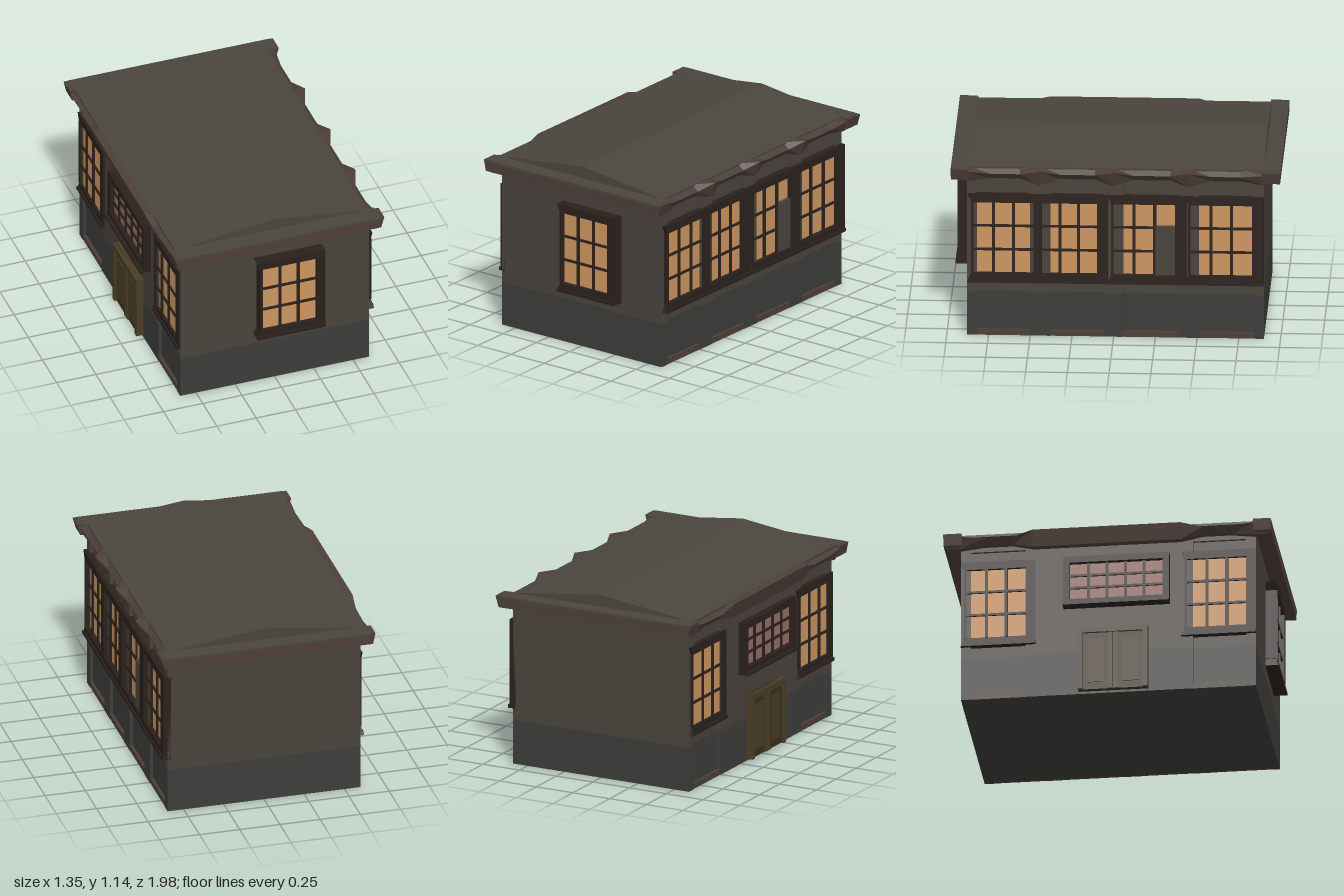
import * as THREE from 'three';

const mat = (color, side = THREE.FrontSide) =>
  new THREE.MeshStandardMaterial({ color, side, flatShading: true });
const M = {
  wall: mat(0x4a433d), base: mat(0x3c3c3a), roof: mat(0x4a453d), fascia: mat(0x4d3e38, THREE.DoubleSide),
  trim: mat(0x2a211c), glass: mat(0xcc9560), pink: mat(0x9a6e66), door: mat(0x4a3d26), doorPanel: mat(0x3a2f1e),
};

// Box given by its minimum and maximum on each axis
function box(parent, name, material, x0, x1, y0, y1, z0, z1) {
  const m = new THREE.Mesh(new THREE.BoxGeometry(x1 - x0, y1 - y0, z1 - z0), material);
  m.position.set((x0 + x1) / 2, (y0 + y1) / 2, (z0 + z1) / 2);
  m.name = name;
  parent.add(m);
  return m;
}

// Extruded outline in the xy plane, running from z0 to z1
function slab(parent, name, material, points, z0, z1) {
  const shape = new THREE.Shape(points.map(([x, y]) => new THREE.Vector2(x, y)));
  const m = new THREE.Mesh(new THREE.ExtrudeGeometry(shape, { depth: z1 - z0, bevelEnabled: false }), material);
  m.position.z = z0;
  m.name = name;
  parent.add(m);
  return m;
}

// Paned glass with glazing bars, facing +z
function panes(g, w, y0, y1, cols, rows, zGlass, zBar, glass) {
  box(g, 'glass', glass, 0, w, y0, y1, zGlass - 0.01, zGlass);
  for (let i = 1; i < cols; i++) {
    const x = (w * i) / cols;
    box(g, 'verticalBar', M.trim, x - 0.009, x + 0.009, y0, y1, zBar - 0.01, zBar);
  }
  for (let i = 1; i < rows; i++) {
    const y = y0 + ((y1 - y0) * i) / rows;
    box(g, 'horizontalBar', M.trim, 0, w, y - 0.007, y + 0.007, zBar - 0.01, zBar);
  }
}

// Tall window with a wide right stile and skewed lintel and sill ends
function tallWindow(name, w, stile, zBack, zGlass, zFront) {
  const g = new THREE.Group();
  g.name = name;
  panes(g, w, 0.4, 0.85, 3, 3, zGlass, zGlass + 0.02, M.glass);
  box(g, 'leftStile', M.trim, -0.015, 0, 0.4, 0.85, zBack, zFront);
  box(g, 'rightStile', M.trim, w, w + stile, 0.4, 0.85, zBack, zFront);
  slab(g, 'lintel', M.trim, [[-0.01, 0.85], [w + stile, 0.85], [w + stile, 0.9], [-0.035, 0.9]], zBack, zFront);
  slab(g, 'sill', M.trim, [[-0.035, 0.345], [w + stile, 0.345], [w + stile, 0.4], [-0.01, 0.4]], zBack, zFront);
  slab(g, 'sillLip', M.trim, [[-0.035, 0.345], [w + stile, 0.345], [w + stile, 0.365], [-0.025, 0.365]], zBack, zFront + 0.01);
  return g;
}

// Eave ribbon lofted through stations of [z, overhang, top, bottom]
function eave(name, side, stations) {
  const pos = [], idx = [];
  for (const [z, out, top, bottom] of stations) {
    for (const [x, y] of [[0.585, 1.07], [out, top], [out - 0.03, bottom], [0.59, bottom]]) pos.push(side * x, y, z);
  }
  for (let s = 0; s < stations.length - 1; s++) {
    for (let k = 0; k < 3; k++) {
      const a = s * 4 + k, b = a + 1, c = a + 4, d = a + 5;
      if (side > 0) idx.push(a, c, b, b, c, d);
      else idx.push(a, b, c, b, d, c);
    }
  }
  let geo = new THREE.BufferGeometry();
  geo.setAttribute('position', new THREE.Float32BufferAttribute(pos, 3));
  geo.setIndex(idx);
  geo = geo.toNonIndexed();
  geo.computeVertexNormals();
  const m = new THREE.Mesh(geo, M.fascia);
  m.name = name;
  return m;
}

export function createModel() {
  const root = new THREE.Group();
  root.name = 'shopBuilding';
  const ZB = -0.9, ZF = 0.88, BASE = 0.275;

  // Core walls, with end walls at full width
  for (const [name, m, y0, y1] of [['base', M.base, 0, BASE], ['wall', M.wall, BASE, 1.01]]) {
    box(root, name + 'Core', m, -0.58, 0.58, y0, y1, ZB, ZF);
    // Pilasters on the right wall, and on the left wall around a solid middle bay
    for (const [z0, z1] of [[ZB, -0.84], [-0.51, -0.39], [-0.06, 0.06], [0.38, 0.5], [0.82, ZF]])
      box(root, name + 'RightPilaster', m, 0.58, 0.6, y0, y1, z0, z1);
    for (const [z0, z1] of [[ZB, -0.84], [-0.51, 0.5], [0.82, ZF]])
      box(root, name + 'LeftPilaster', m, -0.6, -0.58, y0, y1, z0, z1);
  }
  for (const s of [-1, 1]) {
    const x0 = s > 0 ? 0.575 : -0.598;
    box(root, 'bottomRail', M.fascia, x0, x0 + 0.023, 0, 0.035, ZB + 0.01, ZF - 0.01);
    box(root, 'topRail', M.wall, x0, x0 + 0.023, 0.97, 1.01, ZB + 0.01, ZF - 0.01);
  }

  // Right wall windows: [start z, opening width, stile width]
  for (const [z, w, stile] of [[0.84, 0.36, 0.05], [0.43, 0.33, 0.065], [0, 0.37, 0.07], [-0.46, 0.37, 0.07]]) {
    const win = tallWindow('rightWindow', w, stile, -0.02, -0.005, 0.025);
    win.rotation.y = Math.PI / 2;
    win.position.set(0.6, 0, z);
    root.add(win);
  }
  box(root, 'windowShutterPanel', M.wall, 0.58, 0.618, 0.4, 0.71, -0.44, -0.25);

  // Left wall windows at both ends
  for (const z of [-0.865, 0.465]) {
    const win = tallWindow('leftWindow', 0.36, 0.055, -0.02, -0.005, 0.012);
    win.rotation.y = -Math.PI / 2;
    win.position.set(-0.6, 0, z);
    root.add(win);
  }

  // Front window
  const front = tallWindow('frontWindow', 0.345, 0.055, -0.01, 0.04, 0.07);
  front.position.set(-0.1, 0, ZF);
  root.add(front);

  // Wide upper window over the door
  const upper = new THREE.Group();
  upper.name = 'upperWindow';
  upper.rotation.y = -Math.PI / 2;
  upper.position.set(-0.6, 0, -0.24);
  panes(upper, 0.56, 0.61, 0.85, 5, 3, 0.015, 0.03, M.pink);
  box(upper, 'leftStile', M.trim, -0.04, 0, 0.57, 0.89, -0.01, 0.045);
  box(upper, 'rightStile', M.trim, 0.56, 0.6, 0.57, 0.89, -0.01, 0.045);
  box(upper, 'lintel', M.trim, 0, 0.56, 0.85, 0.89, -0.01, 0.045);
  box(upper, 'bottomRail', M.trim, 0, 0.56, 0.58, 0.61, -0.01, 0.045);
  box(upper, 'sill', M.trim, -0.04, 0.6, 0.565, 0.58, -0.01, 0.068);
  root.add(upper);

  // Double door with two framed leaves
  const door = new THREE.Group();
  door.name = 'doubleDoor';
  door.rotation.y = -Math.PI / 2;
  door.position.set(-0.6, 0, 0.02);
  box(door, 'doorBack', M.doorPanel, -0.2, 0.2, 0.015, 0.42, -0.01, 0.03);
  box(door, 'doorHead', M.door, -0.21, 0.21, 0.385, 0.42, -0.01, 0.045);
  for (const s of [-1, 1]) {
    box(door, 'jamb', M.door, s * 0.195 - 0.015, s * 0.195 + 0.015, 0.015, 0.385, -0.01, 0.045);
    box(door, 'meetingStile', M.door, s * 0.016 - 0.013, s * 0.016 + 0.013, 0.015, 0.385, 0, 0.038);
    box(door, 'leafPanel', M.door, s * 0.105 - 0.05, s * 0.105 + 0.05, 0.06, 0.345, 0, 0.036);
  }
  root.add(door);

  // Roof deck, low gable and end fascias
  box(root, 'roofDeck', M.roof, -0.63, 0.6, 1.055, 1.07, -1, 0.975);
  slab(root, 'gableRoof', M.roof, [[-0.6, 1.07], [0.6, 1.07], [0, 1.145]], ZB, 0.87);
  const outline = [[-0.665, 1.07], [-0.65, 1.0], [0.645, 1.0], [0.665, 1.07]];
  slab(root, 'frontFascia', M.fascia, outline, 0.87, 0.974);
  slab(root, 'backFascia', M.fascia, outline, -0.999, -0.89);
  box(root, 'roofFrontStrip', M.roof, -0.64, 0.64, 1.06, 1.071, 0.86, 0.975);
  box(root, 'roofBackStrip', M.roof, -0.64, 0.64, 1.06, 1.071, -1, -0.89);

  // Wavy right eave: peaks over the pilasters, sags between them
  const right = [[-1, 0.655, 1.07, 1.0], [-0.9, 0.645, 1.05, 0.98]];
  for (const [z, post] of [[-0.76, 0], [-0.58, 0], [-0.45, 1], [-0.34, 0], [-0.12, 0], [0, 1], [0.11, 0], [0.32, 0], [0.44, 1], [0.56, 0], [0.74, 0]])
    right.push(post ? [z, 0.672, 1.066, 0.97] : [z, 0.632, 1.035, 0.998]);
  right.push([0.87, 0.645, 1.05, 0.98], [0.975, 0.655, 1.07, 1.0]);
  root.add(eave('rightEave', 1, right));

  // Left eave: straight over the door bay, sagging towards the ends
  root.add(eave('leftEave', -1, [
    [-1, 0.64, 1.07, 1.0], [-0.9, 0.66, 1.05, 0.98], [-0.76, 0.655, 1.035, 0.998], [-0.58, 0.66, 1.035, 0.998],
    [-0.46, 0.673, 1.068, 0.97], [0.43, 0.673, 1.068, 0.97], [0.56, 0.66, 1.035, 0.998],
    [0.74, 0.655, 1.035, 0.998], [0.87, 0.66, 1.05, 0.98], [0.975, 0.64, 1.07, 1.0],
  ]));
  return root;
}
